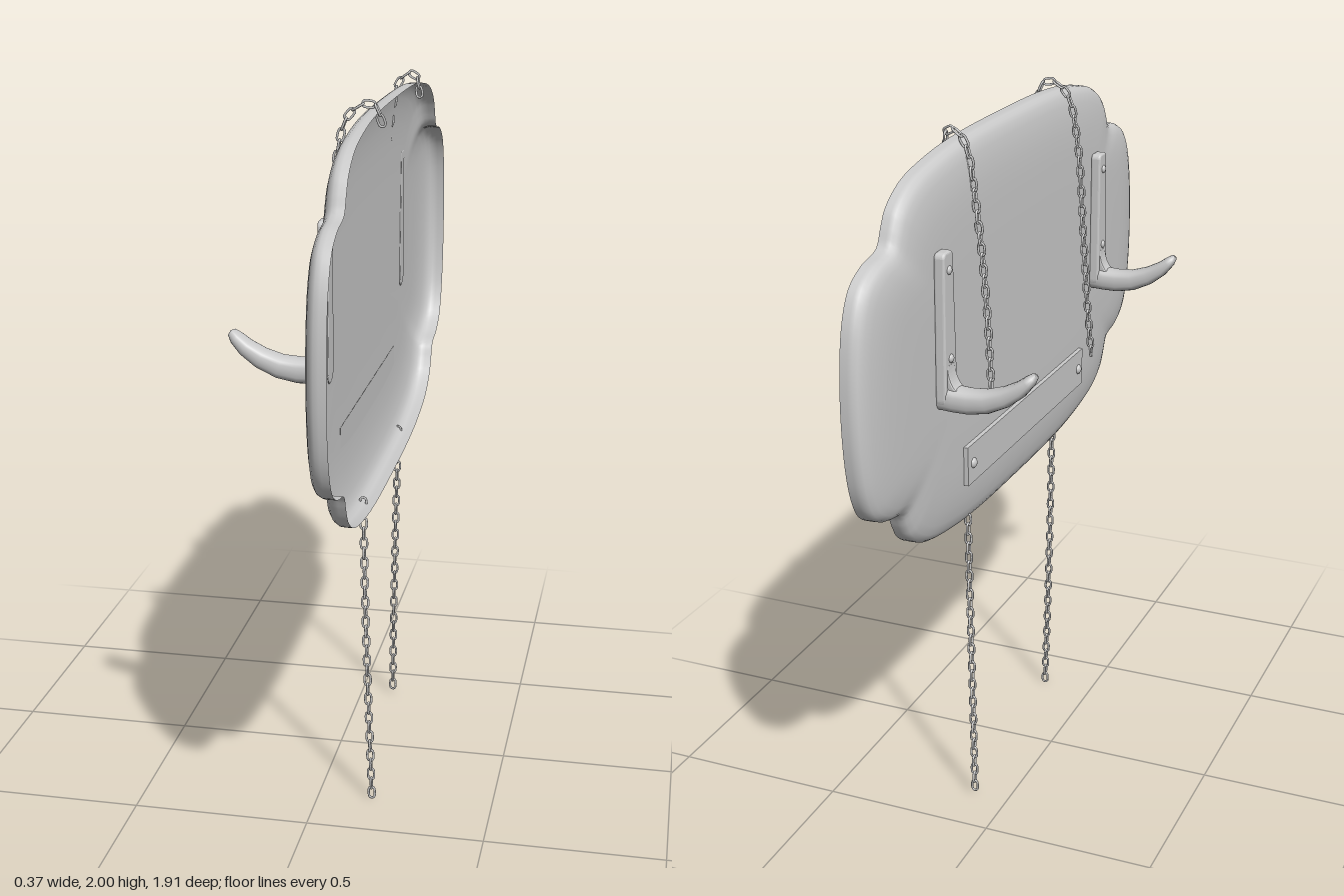
import * as THREE from 'three';
import { mergeGeometries } from 'three/addons/utils/BufferGeometryUtils.js';

const grey = new THREE.MeshStandardMaterial({ color: 0xcccccc });
const greyThin = new THREE.MeshStandardMaterial({ color: 0xcccccc, side: THREE.DoubleSide });
const MID_Y = 1.428;
const V = (x, y, z) => new THREE.Vector3(x, y, z);

function add(parent, name, geometry, material = grey) {
  const mesh = new THREE.Mesh(geometry, material);
  mesh.name = name;
  parent.add(mesh);
  return mesh;
}

// Skin a list of closed rings, each running counter-clockwise about the loft direction
function loft(rings) {
  const n = rings[0].length, index = [];
  for (let i = 0; i < rings.length - 1; i++) {
    for (let j = 0; j < n; j++) {
      const a = i * n + j, b = i * n + (j + 1) % n;
      index.push(a, b, b + n, a, b + n, a + n);
    }
  }
  const g = new THREE.BufferGeometry().setFromPoints(rings.flat());
  g.setIndex(index);
  g.computeVertexNormals();
  return g;
}

// Hollow plaque: stepped oval outline, rolled rim, open towards +x
function plaqueGeometry() {
  const quarter = [[0.957, 0], [0.948, 0.14], [0.926, 0.235], [0.89, 0.297], [0.825, 0.334],
    [0.742, 0.355], [0.716, 0.4], [0.69, 0.44], [0.61, 0.488], [0.455, 0.52], [0.28, 0.535], [0, 0.539]];
  const half = [...quarter, ...quarter.slice(0, -1).reverse().map(([z, y]) => [-z, y])];
  const full = [...half, ...half.slice(1, -1).reverse().map(([z, y]) => [z, -y])];
  const outline = new THREE.CatmullRomCurve3(full.map(([z, y]) => V(0, y, z)), true)
    .getPoints(176).slice(0, -1);
  // Inset from the outline, and x
  const profile = [[0, 0.155], [0, 0.135], [0.001, 0.122], [0.008, 0.111], [0.022, 0.102],
    [0.045, 0.095], [0.08, 0.089], [0.12, 0.085], [0.18, 0.082], [0.3, 0.081], [0.539, 0.081]];
  return loft(profile.map(([inset, x], i) => {
    const last = i === profile.length - 1;
    const sz = last ? 0 : 1 - inset / 0.957, sy = last ? 0 : 1 - inset / 0.539;
    return outline.map((p) => V(x, MID_Y + p.y * sy, p.z * sz));
  }));
}

// Upturned horn of the hook, tapering to a blunt tip
function hornGeometry() {
  // x, y, half height, half width
  const stations = [[0.08, 1.345, 0.036, 0.036], [0.04, 1.341, 0.034, 0.036], [0, 1.34, 0.033, 0.035],
    [-0.05, 1.347, 0.03, 0.035], [-0.1, 1.367, 0.026, 0.034], [-0.14, 1.393, 0.021, 0.032],
    [-0.165, 1.417, 0.016, 0.028], [-0.177, 1.431, 0.01, 0.02], [-0.18, 1.435, 0, 0]];
  const path = new THREE.CatmullRomCurve3(stations.map(([x, y]) => V(x, y, 0)));
  const side = V(0, 0, 1);
  return loft(stations.map(([x, y, h, w], i) => {
    const up = path.getTangent(i / (stations.length - 1)).cross(side);
    return Array.from({ length: 20 }, (_, j) => {
      const a = j / 20 * Math.PI * 2, c = Math.cos(a), s = Math.sin(a);
      const soft = (t) => Math.sign(t) * Math.abs(t) ** 0.75;
      return V(x, y, 0).addScaledVector(side, w * soft(c)).addScaledVector(up, h * soft(s));
    });
  }));
}

// Tapered back plate of the hook with a round foot, lying in the yz plane
function hookPlateGeometry() {
  const s = new THREE.Shape();
  s.moveTo(-0.022, 1.718);
  s.lineTo(-0.031, 1.345);
  s.absarc(0, 1.345, 0.031, Math.PI, Math.PI * 2, false);
  s.lineTo(0.022, 1.718);
  s.quadraticCurveTo(0.02, 1.727, 0.012, 1.727);
  s.lineTo(-0.012, 1.727);
  s.quadraticCurveTo(-0.02, 1.727, -0.022, 1.718);
  const g = new THREE.ExtrudeGeometry(s, { depth: 0.018, bevelEnabled: true, bevelSize: 0.006,
    bevelThickness: 0.006, bevelSegments: 3, curveSegments: 12 });
  return g.rotateY(-Math.PI / 2).translate(0.077, 0, 0);
}

// Domed screw head facing -x
function screw(parent, x, y, z, r) {
  const m = add(parent, 'screw', new THREE.SphereGeometry(r, 14, 6, 0, Math.PI * 2, 0, Math.PI / 2));
  m.rotation.z = Math.PI / 2;
  m.scale.y = 0.7;
  m.position.set(x, y, z);
}

function makeHook(z) {
  const hook = new THREE.Group();
  hook.name = 'hook';
  add(hook, 'hookPlate', hookPlateGeometry());
  add(hook, 'hookHorn', hornGeometry());
  // Fillet where the horn meets the plate
  const f = new THREE.Shape();
  f.moveTo(0.06, 1.34);
  f.lineTo(0.02, 1.36);
  f.quadraticCurveTo(0.052, 1.375, 0.056, 1.43);
  f.lineTo(0.065, 1.43);
  f.closePath();
  add(hook, 'hookFillet', new THREE.ExtrudeGeometry(f, { depth: 0.036, bevelEnabled: true,
    bevelSize: 0.004, bevelThickness: 0.006, bevelSegments: 2 }).translate(0, 0, -0.018));
  screw(hook, 0.054, 1.685, 0, 0.012);
  screw(hook, 0.054, 1.45, 0, 0.012);
  hook.position.z = z;
  return hook;
}

// One oval chain link, long axis along z
function linkGeometry() {
  const pts = [];
  for (let i = 0; i < 16; i++) {
    const a = (i + 0.5) / 16 * Math.PI * 2;
    pts.push(V(0.0085 * Math.cos(a), 0, 0.0085 * Math.sin(a) + Math.sign(Math.sin(a)) * 0.0085));
  }
  return new THREE.TubeGeometry(new THREE.CatmullRomCurve3(pts, true), 20, 0.0034, 6, true);
}

// Chain along a path, each link a quarter turn from the one before
function chainGeometry(points) {
  const path = new THREE.CatmullRomCurve3(points.map((p) => V(...p)));
  const count = Math.round(path.getLength() / 0.029);
  const base = linkGeometry(), links = [], o = new THREE.Object3D();
  for (let i = 0; i <= count; i++) {
    o.position.copy(path.getPointAt(i / count));
    o.up.set(0, 0, 1);
    o.lookAt(o.position.clone().add(path.getTangentAt(i / count)));
    o.rotateZ(i % 2 ? Math.PI / 2 : 0);
    o.updateMatrix();
    links.push(base.clone().applyMatrix4(o.matrix));
  }
  return mergeGeometries(links);
}

export function createModel() {
  const model = new THREE.Group();
  model.name = 'hangingPlaque';
  add(model, 'plaque', plaqueGeometry(), greyThin);

  // Name strip with a screw at each end
  const strip = add(model, 'strip', new THREE.BoxGeometry(0.013, 0.112, 0.85));
  strip.position.set(0.0755, 1.092, 0);
  for (const s of [-1, 1]) {
    screw(model, 0.07, 1.092, s * 0.39, 0.015);
    model.add(makeHook(s * 0.55));
  }

  // Chains draped over the top edge
  add(model, 'upperChainLeft', chainGeometry([[0.165, 1.945, 0.305], [0.153, 1.98, 0.312],
    [0.125, 1.988, 0.318], [0.08, 1.955, 0.318], [0.047, 1.82, 0.318], [0.028, 1.55, 0.32],
    [0.017, 1.35, 0.325], [0.01, 1.175, 0.345]]));
  add(model, 'upperChainRight', chainGeometry([[0.168, 1.94, -0.308], [0.156, 1.98, -0.33],
    [0.13, 1.988, -0.337], [0.1, 1.955, -0.338], [0.075, 1.82, -0.338], [0.052, 1.6, -0.338],
    [0.038, 1.4, -0.342], [0.03, 1.25, -0.35]]));

  // Chains hanging from the bottom edge
  add(model, 'lowerChainLeft', chainGeometry([[0.122, 0.895, 0.304], [0.13, 0.6, 0.31],
    [0.142, 0.3, 0.319], [0.155, 0.017, 0.328]]));
  add(model, 'lowerChainRight', chainGeometry([[0.11, 0.895, -0.345], [0.104, 0.6, -0.355],
    [0.1, 0.3, -0.358], [0.1, 0.03, -0.355]]));
  return model;
}
